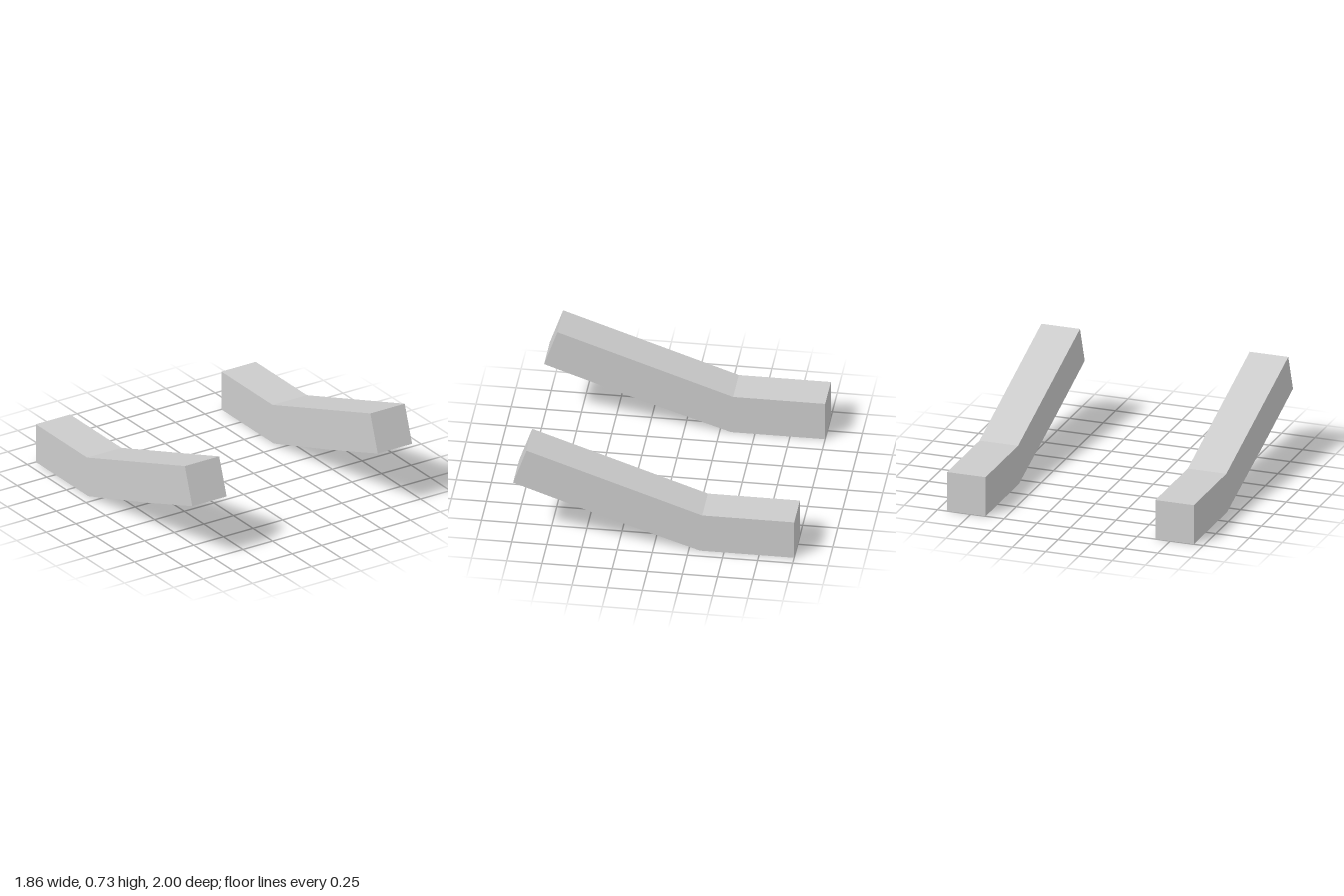
import * as THREE from 'three';

// Side profile of one bent runner as [z, y]
const PROFILE = [
  [-1, 0], [-0.33, 0], [0.4, 0.24], [1, 0.45],
  [0.905, 0.725], [-0.345, 0.295], [-1, 0.295],
];
const WIDTH = 0.29;
const CENTRE_X = 0.783;

export function createModel() {
  const group = new THREE.Group();
  const material = new THREE.MeshStandardMaterial({ color: 0xcccccc, flatShading: true });

  // Square beam: flat at the back, sloping up to the front
  const shape = new THREE.Shape(PROFILE.map(([z, y]) => new THREE.Vector2(z, y)));
  const geometry = new THREE.ExtrudeGeometry(shape, { depth: WIDTH, bevelEnabled: false });
  geometry.translate(0, 0, -WIDTH / 2);
  geometry.rotateY(-Math.PI / 2);

  // One beam on each side
  for (const [name, side] of [['leftBeam', 1], ['rightBeam', -1]]) {
    const beam = new THREE.Mesh(geometry, material);
    beam.name = name;
    beam.position.x = side * CENTRE_X;
    group.add(beam);
  }
  return group;
}
